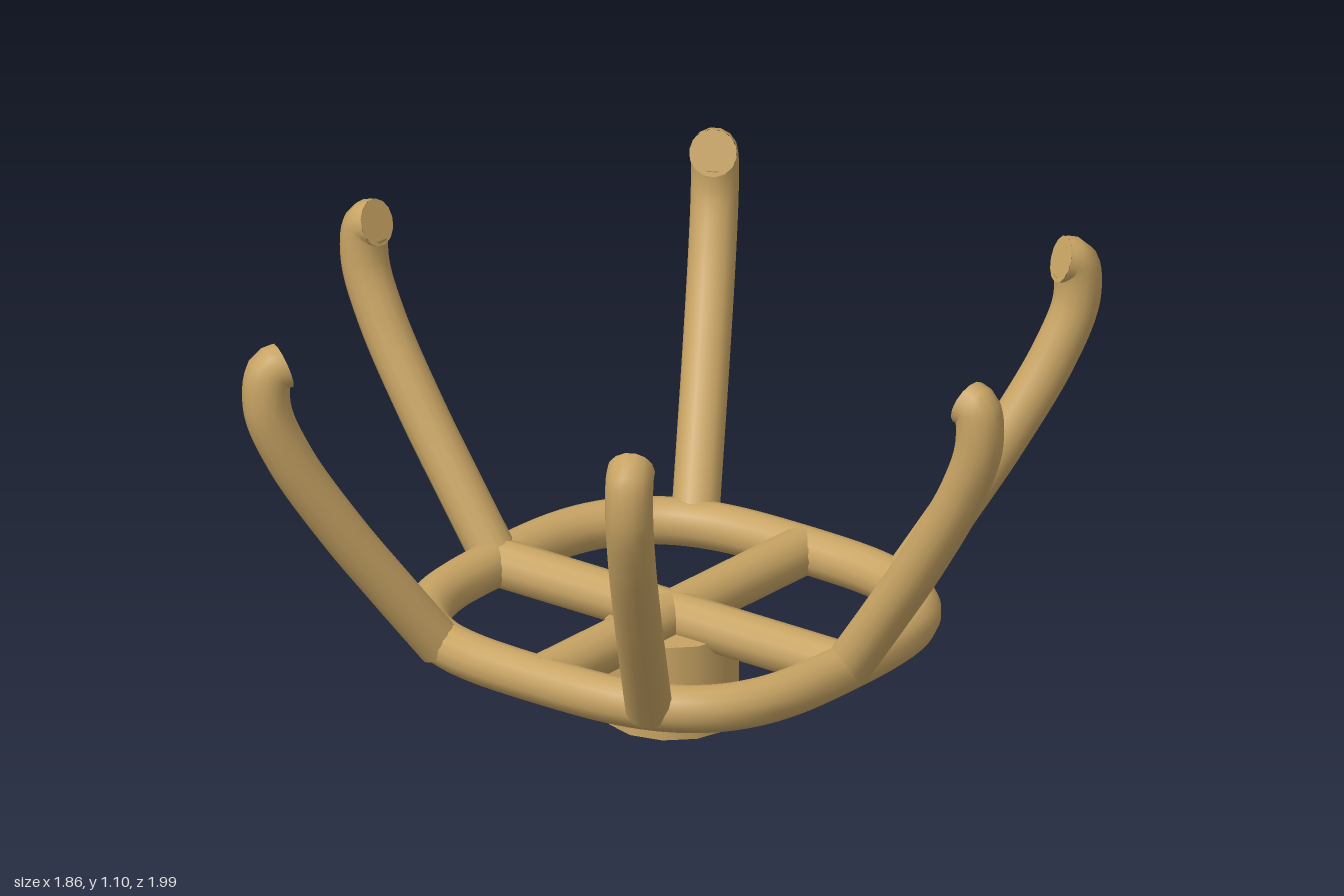
import * as THREE from 'three';

const R = 0.058;       // tube radius
const Y = 0.26;        // height of the ring plane

export function createModel() {
  const group = new THREE.Group();
  const material = new THREE.MeshStandardMaterial({ color: 0xc8a464 });
  const add = (name, geometry, parent = group) => {
    const mesh = new THREE.Mesh(geometry, material);
    mesh.name = name;
    parent.add(mesh);
    return mesh;
  };

  // Short post under the crossing bars
  add('hub', new THREE.CylinderGeometry(0.163, 0.163, 0.24, 12)).position.y = 0.12;

  // Crossing bars inside the ring
  const barX = add('crossBarX', new THREE.CylinderGeometry(0.06, 0.06, 1.03, 12));
  barX.rotation.z = Math.PI / 2;
  barX.position.y = Y;
  const barZ = add('crossBarZ', new THREE.CylinderGeometry(0.06, 0.06, 1.06, 12));
  barZ.rotation.x = Math.PI / 2;
  barZ.position.y = Y;

  // Rounded-square ring
  const soft = (v) => Math.sign(v) * Math.pow(Math.abs(v), 2 / 3.1);
  const ringPoints = [];
  for (let i = 0; i < 48; i++) {
    const a = ((i + 0.5) / 48) * Math.PI * 2;
    ringPoints.push(new THREE.Vector3(0.513 * soft(Math.cos(a)), Y, 0.53 * soft(Math.sin(a))));
  }
  const ringCurve = new THREE.CatmullRomCurve3(ringPoints, true);
  add('ring', new THREE.TubeGeometry(ringCurve, 128, R, 14, true));

  // Prongs: rise outward from the ring and hook inward at the tip
  const profile = [[0, 0], [0.115, 0.165], [0.23, 0.335], [0.35, 0.54],
    [0.402, 0.68], [0.395, 0.773], [0.365, 0.784]];
  const addProng = (name, x, z, angle, reach) => {
    const prong = new THREE.Group();
    prong.name = name;
    prong.position.set(x, Y + 0.003, z);
    prong.rotation.y = -angle;
    const curve = new THREE.CatmullRomCurve3(
      profile.map(([out, up]) => new THREE.Vector3(out * reach, up, 0)));
    add('prongTube', new THREE.TubeGeometry(curve, 72, R, 14), prong);
    // Flat end discs
    for (const t of [0, 1]) {
      const cap = add('prongEnd', new THREE.CircleGeometry(R, 14), prong);
      const dir = curve.getTangentAt(t).multiplyScalar(t ? 1 : -1);
      cap.position.copy(curve.getPointAt(t));
      cap.quaternion.setFromUnitVectors(new THREE.Vector3(0, 0, 1), dir);
    }
    group.add(prong);
  };
  for (const sz of [1, -1]) {
    const end = sz > 0 ? 'front' : 'back';
    addProng(end + 'Prong', 0, 0.535 * sz, (Math.PI / 2) * sz, 1);
    for (const sx of [1, -1]) {
      const angle = Math.atan2(0.53 * sz, 0.848 * sx);
      addProng(end + (sx > 0 ? 'Left' : 'Right') + 'Prong', 0.495 * sx, 0.318 * sz, angle, 1.1);
    }
  }
  return group;
}
